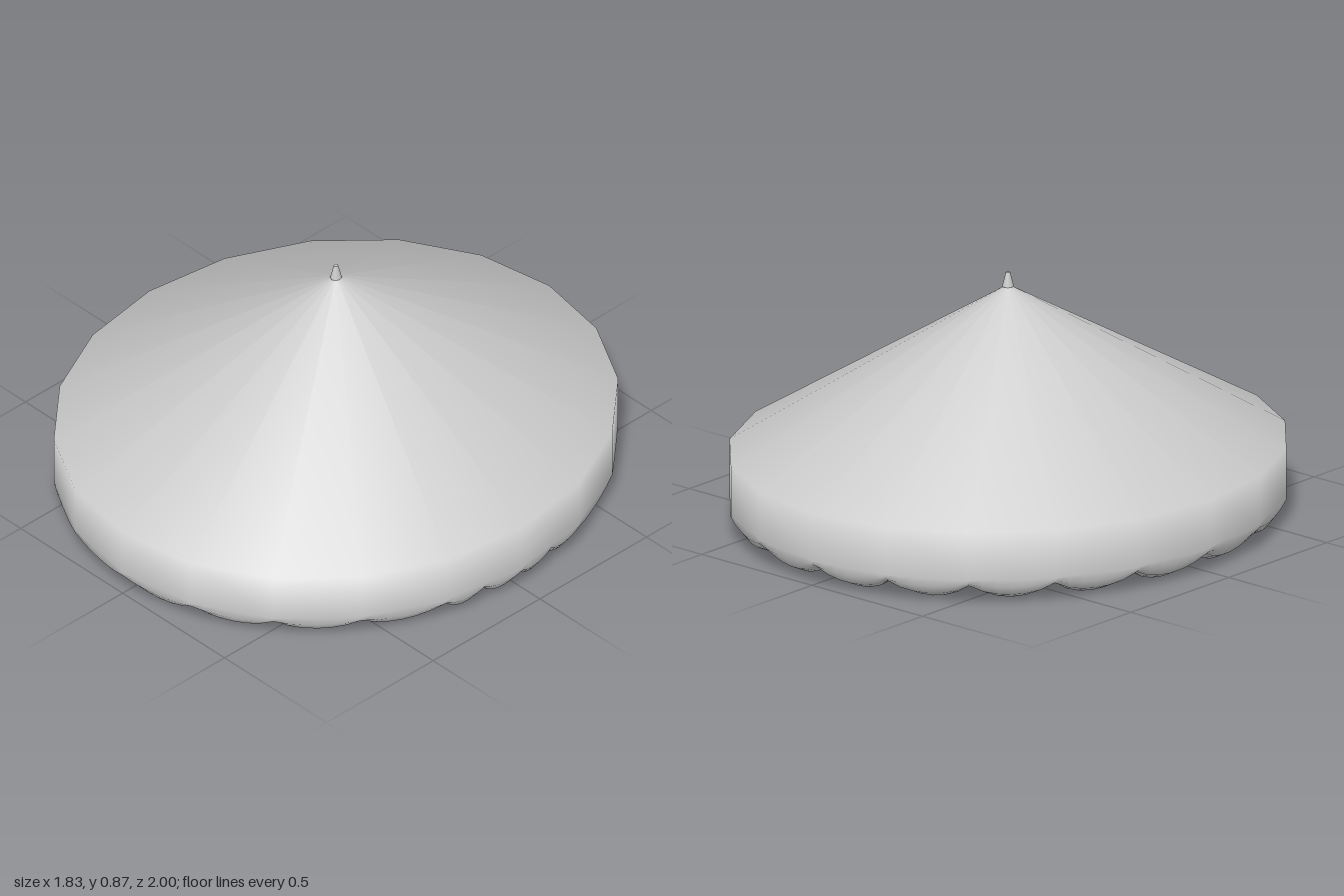
import * as THREE from 'three';
import { toCreasedNormals } from 'three/addons/utils/BufferGeometryUtils.js';

const SIDES = 20;   // panels around the canopy
const SUB = 6;      // steps across each scallop
const WIDTH = 0.915; // the plan is an ellipse, narrower along x
const SPLIT_PANELS = [4, 5]; // panels on the +x side carrying two small scallops

// Point on the polygonal outline, at panel i and fraction t across it
function outline(i, t) {
  const a = (i / SIDES) * Math.PI * 2, b = ((i + 1) / SIDES) * Math.PI * 2;
  return [
    THREE.MathUtils.lerp(Math.sin(a), Math.sin(b), t),
    THREE.MathUtils.lerp(Math.cos(a), Math.cos(b), t),
  ];
}

// Padded scallops: the section is drawn up at the seams and full between them
function scallopGeometry() {
  const seam = [[1, 0.09], [1, 0.078], [0.98, 0.066], [0.94, 0.06], [0.89, 0.06], [0.845, 0.062], [0.815, 0.07]];
  const full = [[1, 0.09], [1, 0.06], [0.975, 0.028], [0.925, 0.005], [0.87, 0.003], [0.835, 0.02], [0.815, 0.06]];
  const pos = [], index = [], rows = seam.length;

  const addScallop = (panel, from, to) => {
    const base = pos.length / 3;
    for (let s = 0; s <= SUB; s++) {
      const t = s / SUB;
      const swell = Math.pow(Math.max(0, Math.sin(Math.PI * t)), 0.7);
      const [ox, oz] = outline(panel, THREE.MathUtils.lerp(from, to, t));
      for (let r = 0; r < rows; r++) {
        const radius = THREE.MathUtils.lerp(seam[r][0], full[r][0], swell);
        const y = THREE.MathUtils.lerp(seam[r][1], full[r][1], swell);
        pos.push(ox * radius, y, oz * radius);
      }
    }
    for (let s = 0; s < SUB; s++) {
      for (let r = 0; r < rows - 1; r++) {
        const a = base + s * rows + r, b = a + rows;
        index.push(a, a + 1, b, b, a + 1, b + 1);
      }
    }
  };

  for (let i = 0; i < SIDES; i++) {
    const count = SPLIT_PANELS.includes(i) ? 2 : 1;
    for (let k = 0; k < count; k++) addScallop(i, k / count, (k + 1) / count);
  }
  const g = new THREE.BufferGeometry();
  g.setAttribute('position', new THREE.Float32BufferAttribute(pos, 3));
  g.setIndex(index);
  return toCreasedNormals(g, 1.1);
}

export function createModel() {
  const model = new THREE.Group();
  model.name = 'tentCanopy';
  const material = new THREE.MeshStandardMaterial({ color: 0xcccccc, side: THREE.DoubleSide });

  const add = (name, geometry, y = 0) => {
    const mesh = new THREE.Mesh(geometry, material);
    mesh.name = name;
    mesh.position.y = y;
    mesh.scale.x = WIDTH;
    model.add(mesh);
  };
  const lathe = (points) =>
    new THREE.LatheGeometry(points.map(([r, y]) => new THREE.Vector2(r, y)), SIDES);

  // Cone roof and short upright wall, smooth over the eave
  add('roof', lathe([[1, 0.09], [1, 0.26], [0, 0.83]]));

  // Inside of the thick shell: upright wall running smoothly into the underside of the roof
  add('lining', lathe([[0, 0.8], [0.02, 0.795], [0.77, 0.36], [0.77, 0.06]]));

  // Scalloped padded hem curling under the wall
  add('scallopedHem', scallopGeometry());

  // Band around the opening: flat underside and a low outer face
  add('innerRim', lathe([[0.77, 0.06], [0.815, 0.06]]));
  add('innerRimFace', lathe([[0.815, 0.06], [0.815, 0.09]]));

  // Small tapered tip
  add('finial', new THREE.CylinderGeometry(0.008, 0.021, 0.05, 8), 0.848);

  return model;
}
